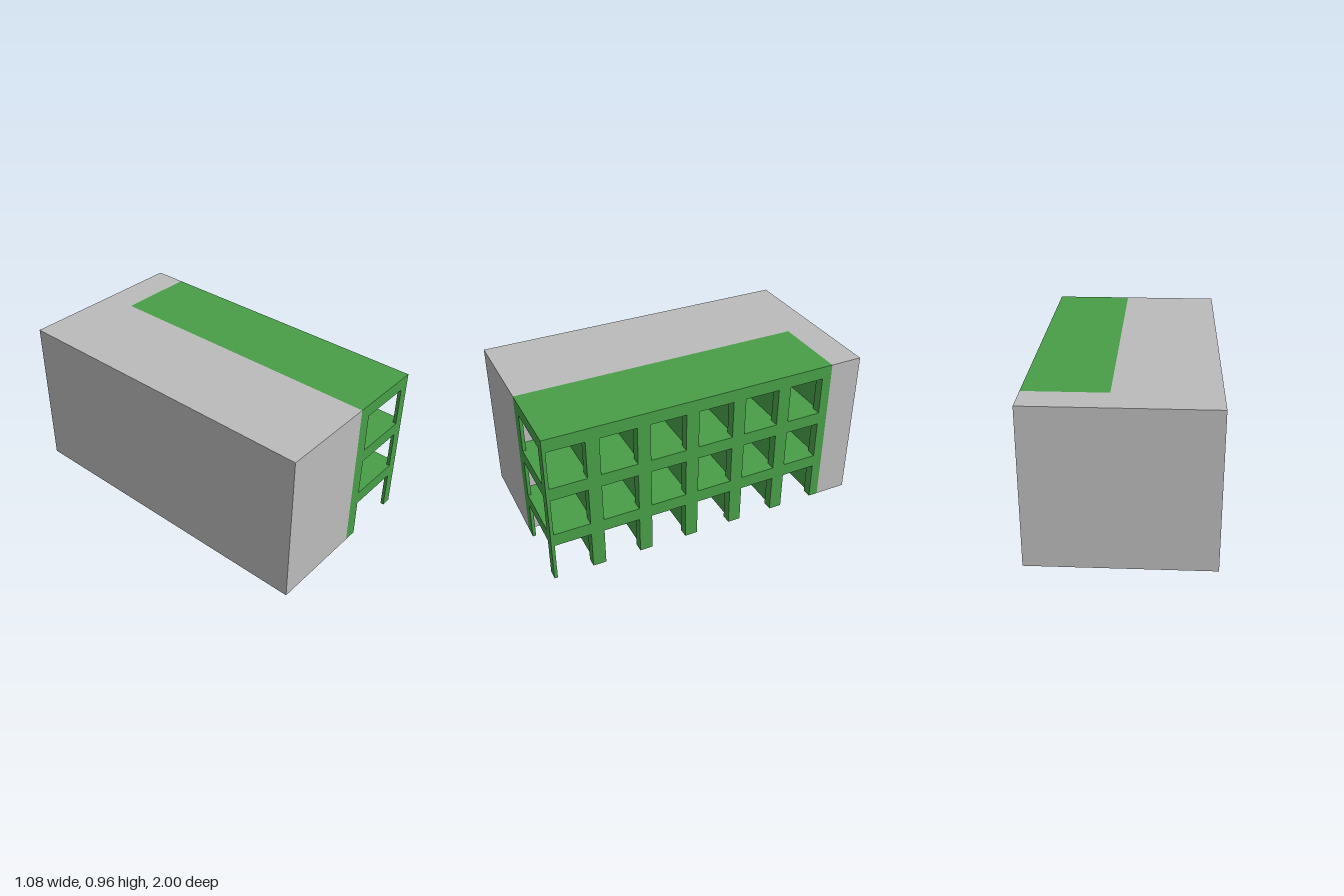
import * as THREE from 'three';

export function createModel() {
  const grey = new THREE.MeshStandardMaterial({ color: 0xbbbbbb });
  grey.name = 'grey concrete';
  const green = new THREE.MeshStandardMaterial({ color: 0x489e48 });
  green.name = 'green frame';

  const building = new THREE.Group();
  building.name = 'building';

  // Box given by its limits on each axis
  const addBox = (parent, name, [x0, x1], [y0, y1], [z0, z1]) => {
    const mesh = new THREE.Mesh(new THREE.BoxGeometry(x1 - x0, y1 - y0, z1 - z0), green);
    mesh.position.set((x0 + x1) / 2, (y0 + y1) / 2, (z0 + z1) / 2);
    mesh.name = name;
    parent.add(mesh);
  };

  // Solid L-shaped block wrapping the back and left of the frame
  const plan = new THREE.Shape([
    [-0.54, -1], [0.06, -1], [0.06, 0.8], [0.54, 0.8], [0.54, 1], [-0.54, 1],
  ].map(([x, y]) => new THREE.Vector2(x, y)));
  const block = new THREE.Mesh(
    new THREE.ExtrudeGeometry(plan, { depth: 0.96, bevelEnabled: false }), grey);
  block.rotation.x = -Math.PI / 2;
  block.name = 'mainBlock';
  building.add(block);

  const inner = [0.06, 0.14], outer = [0.48, 0.54], between = [0.14, 0.48];
  const storeys = [0, 0.32, 0.64];

  // Cross frames: a thin one at the front, then one every 0.3
  const frames = [[0.98, 1]];
  for (let i = 0; i < 6; i++) {
    const z = 0.76 - 0.3 * i;
    frames.push([Math.max(z - 0.08, -0.8), z]);
  }
  frames.forEach(([z0, z1], i) => {
    const frame = new THREE.Group();
    frame.name = 'crossFrame' + (i + 1);
    building.add(frame);
    for (const y of storeys) {
      addBox(frame, 'innerColumn', inner, [y, y + 0.24], [z0, z1]);
      addBox(frame, 'outerColumn', outer, [y, y + 0.24], [z0, z1]);
      addBox(frame, 'crossBeam', between, [y + 0.24, y + 0.32], [z0, z1]);
      // Partition recessed between the columns
      if (i > 0) {
        addBox(frame, 'partitionWall', between, [y, y + 0.24], [z1 - 0.06, z1 - 0.02]);
      }
    }
  });

  // Long beams, with floor and roof slabs in each bay
  for (const y of storeys) {
    const top = y + 0.32;
    addBox(building, 'innerBeam', inner, [y + 0.24, top], [-0.8, 1]);
    addBox(building, 'outerBeam', outer, [y + 0.24, top], [-0.8, 1]);
    for (let i = 0; i < 6; i++) {
      addBox(building, top > 0.9 ? 'roofSlab' : 'floorSlab',
        between, [top - 0.04, top], [frames[i + 1][1], frames[i][0]]);
    }
  }
  return building;
}
